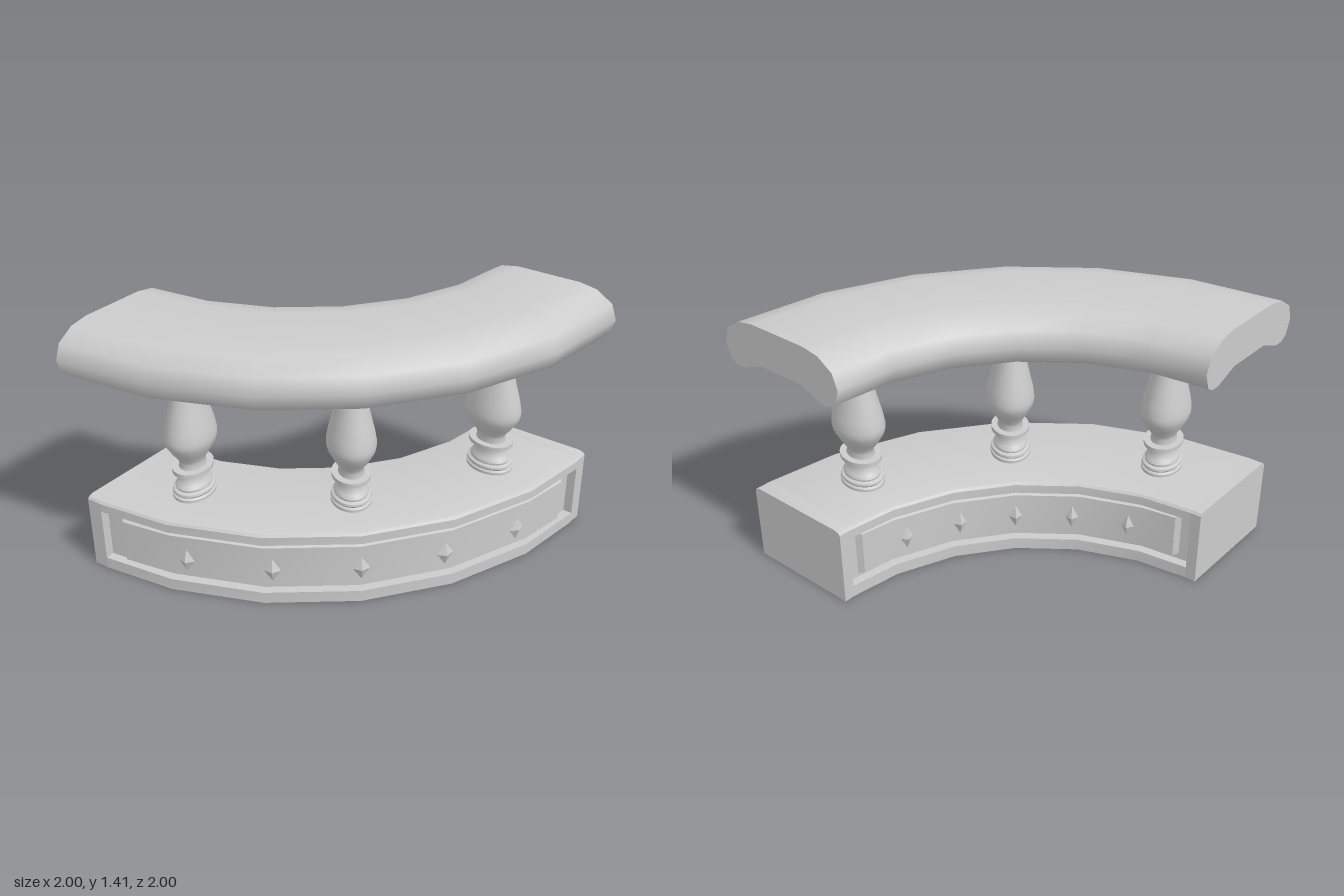
import * as THREE from 'three';
import { toCreasedNormals } from 'three/addons/utils/BufferGeometryUtils.js';

const RAD = Math.PI / 180;
const MID = 1.6; // radius of the centre line, bent about x = 1, z = -1
const material = new THREE.MeshStandardMaterial({ color: 0xcccccc });

// Point on the quarter circle: angle 0 is the +x end, 90 the back end
const onArc = (r, y, deg) =>
  new THREE.Vector3(1 - r * Math.sin(deg * RAD), y, -1 + r * Math.cos(deg * RAD));

// Angles from a to b with a cut at every 15 degrees between
function cuts(a, b) {
  const list = [a];
  for (let d = 15; d < 90; d += 15) if (d > a && d < b) list.push(d);
  return [...list, b];
}

// Extrudes a [radius, y] profile and bends it along the given angles
function bend(profile, angles, crease, adjust = (r) => r) {
  const steps = angles.length - 1;
  const shape = new THREE.Shape(profile.map(([r, y]) => new THREE.Vector2(r, y)));
  const geo = new THREE.ExtrudeGeometry(shape, { depth: 1, steps, bevelEnabled: false });
  geo.clearGroups();
  const pos = geo.attributes.position;
  for (let i = 0; i < pos.count; i++) {
    const k = Math.round(pos.getZ(i) * steps);
    const p = onArc(adjust(pos.getX(i), k, steps), pos.getY(i), angles[k]);
    pos.setXYZ(i, p.x, p.y, p.z);
  }
  return toCreasedNormals(geo, crease);
}

function add(parent, geo, name) {
  const mesh = new THREE.Mesh(geo, material);
  mesh.name = name;
  parent.add(mesh);
  return mesh;
}

// Completes a profile given as [offset, y] on the outer side by mirroring it
const mirrored = (half) => [
  ...half.map(([o, y]) => [MID + o, y]),
  ...half.slice().reverse().map(([o, y]) => [MID - o, y]),
];

function createBase() {
  const base = new THREE.Group();
  base.name = 'base';
  const top = [[0.32, 0.41], [0.31, 0.423], [0.285, 0.43]];
  const solid = mirrored([[0.32, 0], ...top]);
  const grooved = mirrored([[0.32, 0], [0.32, 0.065], [0.27, 0.065], [0.27, 0.362], [0.32, 0.362], ...top]);
  add(base, bend(solid, [0, 2.6], 0.6), 'baseEndLeft');
  add(base, bend(grooved, cuts(2.6, 87.4), 0.6), 'baseMiddle');
  add(base, bend(solid, [87.4, 90], 0.6), 'baseEndRight');

  // Bevelled panels and diamond studs on the outer and inner faces
  for (const side of [1, -1]) {
    const label = side > 0 ? 'outer' : 'inner';
    const floor = MID + side * 0.265;
    const face = MID + side * 0.308;
    const panel = [[floor, 0.08], [face, 0.098], [face, 0.337], [floor, 0.352]];
    const angles = [5.4, ...cuts(6.6, 83.4), 84.6];
    const taper = (r, k, n) => (k === 0 || k === n ? floor : r);
    add(base, bend(panel, angles, 0.4, taper), label + 'Panel');

    for (let i = 0; i < 5; i++) {
      const deg = 18 + i * 13.5;
      const geo = new THREE.OctahedronGeometry(1).scale(side > 0 ? 0.045 : 0.035, 0.067, 0.027);
      const stud = add(base, geo, label + 'Stud');
      stud.position.copy(onArc(MID + side * 0.322, 0.215, deg));
      stud.rotation.y = -deg * RAD;
    }
  }
  return base;
}

// Turned baluster, narrower along the curve than across it
function createBalusterGeometry() {
  const profile = [
    [0, 0.425], [0.139, 0.425], [0.139, 0.445], [0.128, 0.453], [0.135, 0.462], [0.133, 0.473],
    [0.115, 0.48], [0.117, 0.49], [0.113, 0.498], [0.102, 0.507], [0.09, 0.53], [0.085, 0.555],
    [0.09, 0.575], [0.131, 0.575], [0.131, 0.598], [0.088, 0.598], [0.083, 0.625], [0.09, 0.645],
    [0.125, 0.69], [0.158, 0.74], [0.1655, 0.765], [0.1655, 0.79], [0.155, 0.84], [0.128, 0.93],
    [0.104, 1.02], [0.096, 1.065], [0.096, 1.08], [0.106, 1.083], [0.108, 1.095], [0.106, 1.106],
    [0.105, 1.11], [0.106, 1.205], [0, 1.205],
  ];
  const geo = new THREE.LatheGeometry(profile.map(([r, y]) => new THREE.Vector2(r, y)), 32);
  return toCreasedNormals(geo.scale(0.776, 1, 1), 0.6);
}

export function createModel() {
  const model = new THREE.Group();
  model.name = 'curvedBalustrade';
  model.add(createBase());

  const balusterGeo = createBalusterGeometry();
  for (const deg of [15, 45, 75]) {
    const baluster = add(model, balusterGeo, 'baluster');
    baluster.position.copy(onArc(MID, 0, deg));
    baluster.rotation.y = -deg * RAD;
  }

  // Rounded handrail with a shallow channel underneath
  const rail = mirrored([
    [0.14, 1.2], [0.28, 1.148], [0.33, 1.148], [0.372, 1.172], [0.4, 1.255],
    [0.37, 1.337], [0.28, 1.395], [0.18, 1.412],
  ]);
  add(model, bend(rail, cuts(0, 90), 0.75), 'handrail');
  return model;
}
